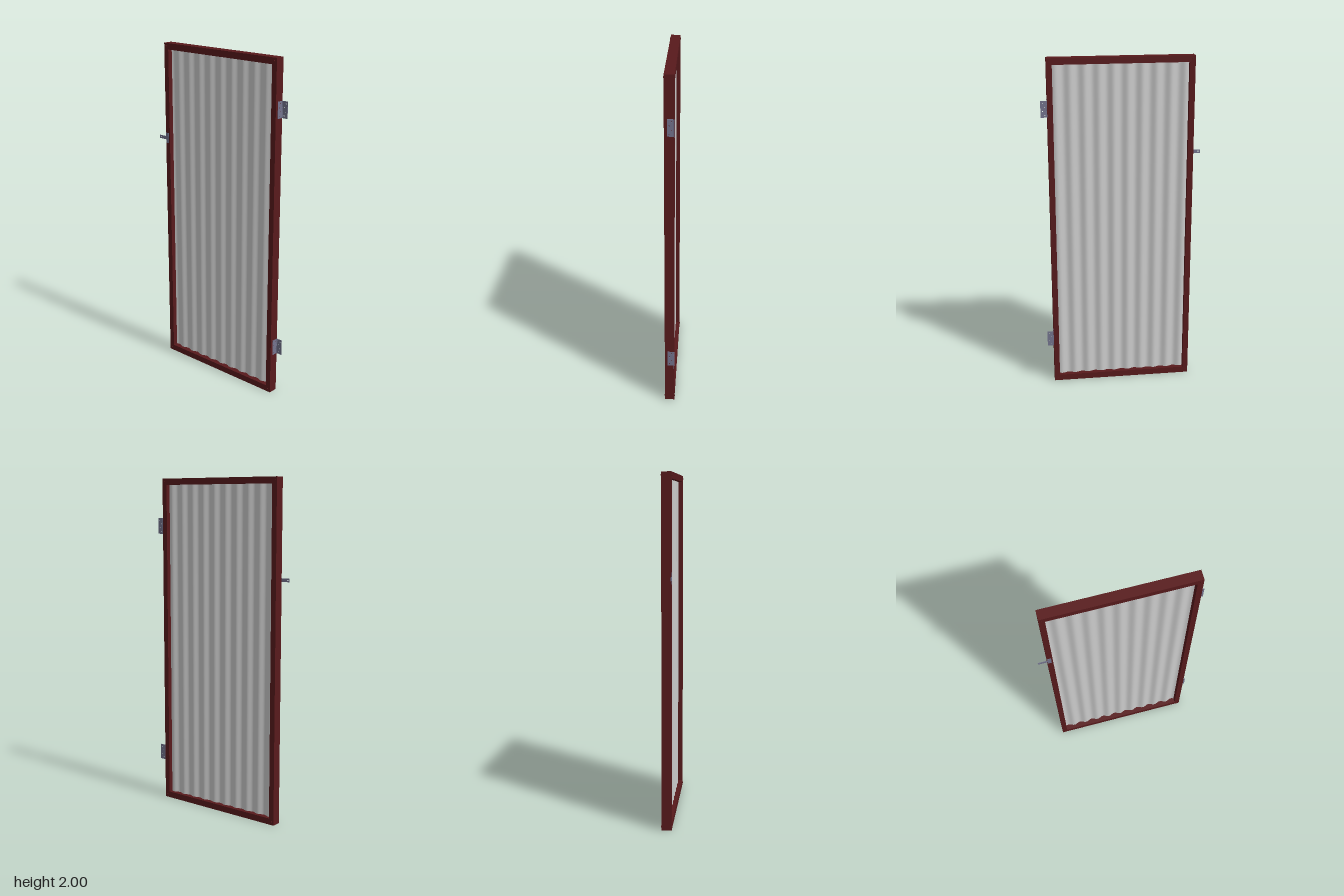
import * as THREE from 'three';

const red = new THREE.MeshStandardMaterial({ color: 0x581a1c });
const steel = new THREE.MeshStandardMaterial({ color: 0x74748e });
const grey = new THREE.MeshStandardMaterial({ color: 0xcccccc, side: THREE.DoubleSide });

const BACK = -0.413, FRONT = 0.427, HALF = 0.028; // door edges in z, half depth in x
const SIDE = 0.032, RAIL = 0.037;                  // frame member widths

function add(parent, name, geometry, material, x = 0, y = 0, z = 0) {
  const mesh = new THREE.Mesh(geometry, material);
  mesh.name = name;
  mesh.position.set(x, y, z);
  parent.add(mesh);
  return mesh;
}

function rectangle(Type, x0, y0, x1, y1) {
  return new Type([[x0, y0], [x1, y0], [x1, y1], [x0, y1]].map(p => new THREE.Vector2(...p)));
}

// Flat hinge leaf with screw holes, lying in the xy plane
function leafGeometry(width, height, thickness) {
  const shape = rectangle(THREE.Shape, -width / 2, -height / 2, width / 2, height / 2);
  [-0.034, -0.012, 0.012, 0.034].forEach((y, i) => {
    const hole = new THREE.Path();
    hole.absarc(i % 2 ? 0.006 : -0.006, y, 0.0028, 0, Math.PI * 2, true);
    shape.holes.push(hole);
  });
  return new THREE.ExtrudeGeometry(shape, { depth: thickness, bevelEnabled: false, curveSegments: 8 });
}

function makeHinge(y) {
  const hinge = new THREE.Group();
  hinge.name = 'hinge';
  hinge.position.y = y;
  // leaf screwed to the door edge, and leaf standing out for the post
  add(hinge, 'doorLeaf', leafGeometry(0.036, 0.095, 0.0015), steel, 0.006, 0, FRONT);
  const post = add(hinge, 'postLeaf', leafGeometry(0.036, 0.095, 0.0015), steel, 0.027, 0, FRONT + 0.02);
  post.rotation.y = -Math.PI / 2;
  // interlocking knuckles round the pin
  for (let i = 0; i < 5; i++) {
    add(hinge, 'knuckle', new THREE.CylinderGeometry(0.003, 0.003, 0.018, 12), steel,
      0.025, (i - 2) * 0.019, FRONT + 0.003);
  }
  return hinge;
}

export function createModel() {
  const model = new THREE.Group();
  model.name = 'gatePanel';

  // Frame with its opening
  const outline = rectangle(THREE.Shape, BACK, 0, FRONT, 2);
  outline.holes.push(rectangle(THREE.Path, BACK + SIDE, RAIL, FRONT - SIDE, 2 - RAIL));
  const frame = new THREE.ExtrudeGeometry(outline, { depth: HALF * 2, bevelEnabled: false });
  frame.translate(0, 0, -HALF).rotateY(-Math.PI / 2);
  add(model, 'frame', frame, red);

  // Corrugated sheet
  const width = FRONT - BACK - 2 * SIDE + 0.004;
  const sheet = new THREE.PlaneGeometry(width, 2 - 2 * RAIL + 0.004, 152, 1);
  const p = sheet.attributes.position;
  for (let i = 0; i < p.count; i++) {
    p.setZ(i, 0.006 * Math.sin((p.getX(i) / width + 0.5) * Math.PI * 2 * 9.5));
  }
  sheet.computeVertexNormals();
  sheet.rotateY(Math.PI / 2);
  add(model, 'corrugatedSheet', sheet, grey, 0, 1, (FRONT + BACK) / 2);

  // Corner bolts, heads on both faces
  for (const z of [BACK + 0.014, FRONT - 0.017]) {
    for (const y of [0.018, 1.982]) {
      for (const s of [-1, 1]) {
        add(model, 'boltHead', new THREE.CylinderGeometry(0.005, 0.005, 0.005, 6), red,
          s * (HALF + 0.002), y, z).rotation.z = Math.PI / 2;
      }
    }
  }

  model.add(makeHinge(0.292), makeHinge(1.717));

  // Latch: base plate on the frame and a tongue past the edge
  const latch = new THREE.Group();
  latch.name = 'latch';
  add(latch, 'latchPlate', new THREE.BoxGeometry(0.002, 0.062, 0.022), steel, -HALF - 0.001, 1.43, BACK + 0.013);
  const tongue = rectangle(THREE.Shape, -0.465, 1.42, BACK + 0.02, 1.44);
  const hole = new THREE.Path();
  hole.absarc(-0.454, 1.43, 0.004, 0, Math.PI * 2, true);
  tongue.holes.push(hole);
  const strip = new THREE.ExtrudeGeometry(tongue, { depth: 0.002, bevelEnabled: false, curveSegments: 8 });
  strip.rotateY(-Math.PI / 2);
  add(latch, 'latchTongue', strip, steel, -HALF);
  model.add(latch);

  return model;
}
